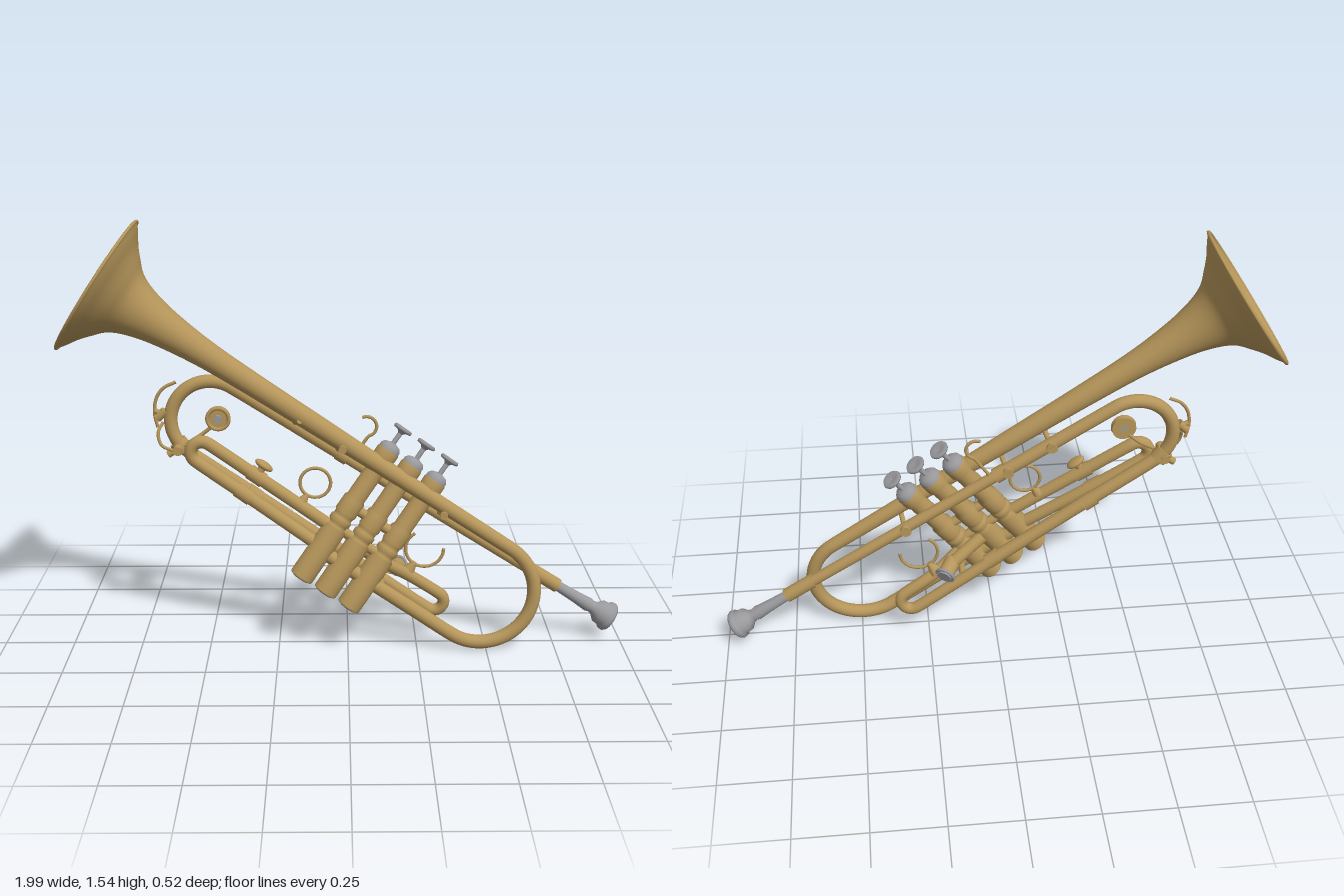
import * as THREE from 'three';

const brass = new THREE.MeshStandardMaterial({ color: 0xb5955a });
brass.name = 'brass';
const silver = new THREE.MeshStandardMaterial({ color: 0x9a9a9d });
silver.name = 'silver';

const V = (x, y, z) => new THREE.Vector3(x, y, z);
const UP = V(0, 1, 0);

export function createModel() {
  const model = new THREE.Group();
  model.name = 'trumpet';
  // Instrument is laid out along x, then tilted so that the bell points up
  const body = new THREE.Group();
  body.name = 'instrument';
  body.rotation.z = -0.5986;
  model.add(body);

  function add(name, geometry, material = brass, parent = body) {
    const mesh = new THREE.Mesh(geometry, material);
    mesh.name = name;
    parent.add(mesh);
    return mesh;
  }
  // Turned part whose axis starts at a and points towards b
  function turned(name, profile, a, b, material = brass, sides = 32, parent = body) {
    const pts = profile.map(([r, y]) => new THREE.Vector2(r, y));
    const mesh = add(name, new THREE.LatheGeometry(pts, sides), material, parent);
    mesh.position.copy(a);
    mesh.quaternion.setFromUnitVectors(UP, b.clone().sub(a).normalize());
    return mesh;
  }
  function rod(name, a, b, r, material = brass, r2 = r) {
    const mesh = add(name, new THREE.CylinderGeometry(r2, r, a.distanceTo(b), 20), material);
    mesh.position.copy(a).lerp(b, 0.5);
    mesh.quaternion.setFromUnitVectors(UP, b.clone().sub(a).normalize());
    return mesh;
  }
  function tube(name, points, r, material = brass, sides = 16) {
    const path = new THREE.CatmullRomCurve3(points, false, 'centripetal');
    return add(name, new THREE.TubeGeometry(path, points.length * 8, r, sides), material);
  }
  // Points along an arc, from angle a0 to a1, sliding from depth z0 to z1
  function arc(x, y, r, a0, a1, z0, z1 = z0, n = 12) {
    return Array.from({ length: n + 1 }, (_, i) => {
      const a = a0 + (a1 - a0) * i / n;
      return V(x + r * Math.cos(a), y + r * Math.sin(a), z0 + (z1 - z0) * i / n);
    });
  }
  const H = Math.PI / 2;

  // Bell: inner throat, rim, then the long tapering outside
  const bellMouth = V(-1.45, 0.612, 0), bellEnd = V(0.277, 0.638, 0.03);
  const flare = new THREE.SplineCurve([[0.257, 0], [0.228, 0.022], [0.19, 0.047], [0.155, 0.077],
    [0.117, 0.115], [0.09, 0.175], [0.068, 0.27], [0.05, 0.42], [0.042, 0.6], [0.036, 0.9],
    [0.029, 1.3], [0.025, 1.728]].map(p => new THREE.Vector2(...p))).getPoints(70).map(p => [p.x, p.y]);
  const throat = flare.slice(0, 45).reverse().map(([r, y]) => [r - 0.006, y - 0.002]);
  turned('bell', [...throat, ...flare], bellMouth, bellEnd, brass, 56);
  const rim = turned('bellRim', [], bellMouth, bellEnd);
  rim.geometry = new THREE.TorusGeometry(0.255, 0.006, 8, 56).rotateX(H);

  // Bell bow returning to the valves
  tube('bellBow', [V(0.2, 0.637, 0.029), ...arc(0.277, 0.449, 0.189, H, -H, 0.03, 0.065, 20),
    V(0.1, 0.26, 0.064), V(-0.3, 0.26, 0.061)], 0.025);

  // Leadpipe, main tuning slide and the long lower tube with its rear slide bow
  tube('leadpipe', [V(-0.5, 0.567, -0.051), V(0, 0.583, -0.044), V(0.5, 0.6, -0.037)], 0.021);
  tube('tuningSlide', [V(-0.42, 0.57, -0.05), ...arc(-0.87, 0.415, 0.14, H, 3 * H, -0.055, -0.045, 18),
    V(-0.6, 0.273, -0.045), V(-0.2, 0.268, -0.045)], 0.024);
  tube('rearSlide', [V(-0.3, 0.267, -0.045), V(0, 0.262, -0.045),
    ...arc(0.178, 0.297, 0.037, -H, H, -0.045, -0.035), V(0.05, 0.334, -0.025), V(-0.1, 0.336, 0.03)], 0.022);
  rod('leadpipeSleeve', V(0.4, 0.597, -0.038), V(0.52, 0.601, -0.037), 0.026);
  rod('leadpipeFerrule', V(-0.43, 0.57, -0.05), V(-0.39, 0.571, -0.05), 0.028);
  for (const x of [-0.62, -0.2]) rod('lowerFerrule', V(x, 0.271, -0.045), V(x + 0.05, 0.27, -0.045), 0.028);

  // First valve slide
  tube('firstSlide', [V(-0.3, 0.352, 0.045), V(-0.6, 0.352, 0.02), ...arc(-0.835, 0.312, 0.039, H, 3 * H, 0),
    V(-0.6, 0.272, 0.02), V(-0.3, 0.272, 0.055)], 0.023);
  for (const y of [0.352, 0.272])
    rod('firstSlideFerrule', V(-0.66, y, 0.014), V(-0.6, y, 0.02), 0.027);

  // Mouthpiece
  turned('mouthpiece', [[0.018, 0], [0.022, 0.1], [0.026, 0.15], [0.022, 0.165], [0.026, 0.18],
    [0.044, 0.2], [0.046, 0.222], [0.054, 0.23], [0.056, 0.242], [0.051, 0.25], [0.043, 0.247],
    [0.036, 0.225], [0.022, 0.205], [0.006, 0.195], [0.001, 0.194]],
    V(0.506, 0.6, -0.037), V(0.756, 0.608, -0.036), silver);

  // Three valves, leaning forward at the bottom
  const lean = t => -0.03 + (0.77 - t) * 0.18;
  for (let i = 0; i < 3; i++) {
    const x = -0.301 + i * 0.101;
    const valve = new THREE.Group();
    valve.name = 'valve' + (i + 1);
    body.add(valve);
    const a = V(x, 0.145, lean(0.145)), b = V(x + 0.01, 0.77, lean(0.77));
    const part = (name, profile, material) => turned(name, profile, a, b, material, 28, valve);
    part('casing', [[0.042, 0], [0.044, 0.006], [0.044, 0.215], [0.036, 0.222], [0.036, 0.235],
      [0.041, 0.238], [0.041, 0.255], [0.036, 0.258], [0.036, 0.27], [0.041, 0.28], [0.041, 0.335],
      [0.035, 0.345], [0.035, 0.5], [0.042, 0.505], [0.042, 0.545], [0.036, 0.552]]);
    part('bottomCap', [[0.001, -0.005], [0.03, -0.005], [0.041, 0], [0.041, 0.004]], silver);
    part('topCap', [[0.039, 0.545], [0.039, 0.56], [0.03, 0.572], [0.012, 0.578], [0.001, 0.578]], silver);
    part('stem', [[0.009, 0.57], [0.009, 0.63]], silver);
    part('button', [[0.008, 0.618], [0.016, 0.628], [0.034, 0.632], [0.036, 0.638], [0.033, 0.645],
      [0.018, 0.641], [0.001, 0.64]], silver);
  }
  // Ports joining the valves
  for (const t of [0.36, 0.45])
    rod('valvePort', V(-0.29, t, lean(t)), V(-0.09, t, lean(t)), 0.018);

  // Second valve slide with round silver end
  rod('secondSlide', V(-0.18, 0.335, 0.02), V(-0.035, 0.33, -0.02), 0.024);
  const knobA = V(-0.04, 0.33, -0.01), knobB = V(0, 0.33, -0.065);
  rod('secondSlideBow', knobA, knobB, 0.03);
  const knob = rod('secondSlideKnob', knobB, V(0.005, 0.33, -0.072), 0.026, silver);
  const ring = add('secondSlideRing', new THREE.TorusGeometry(0.033, 0.006, 8, 28), silver);
  ring.position.copy(knobB);
  ring.quaternion.copy(knob.quaternion).multiply(new THREE.Quaternion().setFromAxisAngle(V(1, 0, 0), H));

  // Braces between bell and leadpipe, with small end buttons
  for (const x of [-0.62, -0.44, -0.007]) {
    const y = 0.583 + x * 0.034, z = -0.044 + x * 0.014;
    rod('brace', V(x, y, z - 0.026), V(x, 0.612, 0.05), 0.009);
    rod('braceButton', V(x, y, z - 0.028), V(x, y, z + 0.012), 0.02);
    if (x > -0.6) rod('braceStud', V(x, 0.612, 0.05), V(x, 0.612, 0.064), 0.014);
  }
  for (const x of [-0.74, -0.04])
    rod('lowerBrace', V(x, 0.27, -0.05), V(x, 0.27, x < -0.5 ? 0.0 : 0.06), 0.012);

  // Finger ring, thumb rest and hooks
  const fingerRing = add('fingerRing', new THREE.TorusGeometry(0.054, 0.006, 8, 36));
  fingerRing.position.set(-0.446, 0.45, 0.025);
  rod('ringFoot', V(-0.446, 0.365, 0.028), V(-0.446, 0.397, 0.025), 0.02, brass, 0.008);
  rod('thumbRestPost', V(-0.63, 0.36, 0.017), V(-0.63, 0.395, 0.017), 0.014);
  const thumbRest = add('thumbRest', new THREE.SphereGeometry(1, 20, 12));
  thumbRest.scale.set(0.036, 0.014, 0.024);
  thumbRest.position.set(-0.63, 0.4, 0.017);
  tube('slideHook', arc(0.03, 0.45, 0.069, 2.7, 6.9, -0.025), 0.006, brass, 8);
  rod('slideHookFoot', V(0.03, 0.34, -0.028), V(0.03, 0.386, -0.025), 0.026, brass, 0.01);
  tube('littleFingerHook', [V(-0.375, 0.575, -0.05), V(-0.375, 0.64, -0.05),
    ...arc(-0.4, 0.705, 0.036, -0.7, 2.6, -0.05)], 0.006, brass, 8);

  // Water key with its round pad, lever and spring hooks
  const padAt = V(-0.853, 0.443, -0.03);
  rod('keyPad', padAt, V(-0.853, 0.443, -0.014), 0.043);
  const padRim = add('keyPadRim', new THREE.TorusGeometry(0.038, 0.007, 8, 28));
  padRim.position.set(-0.853, 0.443, -0.012);
  rod('keyPadCentre', padAt, V(-0.853, 0.443, -0.004), 0.014, silver);
  tube('keyLever', [V(-0.853, 0.41, -0.025), V(-0.868, 0.36, -0.03), V(-0.9, 0.29, -0.02)], 0.007, brass, 8);
  rod('keyPivot', V(-0.91, 0.272, -0.08), V(-0.91, 0.272, 0.02), 0.016);
  rod('keyCollar', V(-0.925, 0.285, -0.045), V(-0.885, 0.272, -0.045), 0.032);
  rod('keyNozzle', V(-0.905, 0.275, -0.045), V(-0.925, 0.225, -0.045), 0.013);
  tube('keySpring', [V(-0.91, 0.265, 0.0), V(-0.965, 0.255, 0), V(-1.0, 0.285, -0.01), V(-1.005, 0.32, -0.03)], 0.006, brass, 8);
  rod('slideStopPost', V(-1.0, 0.345, -0.045), V(-1.05, 0.335, -0.045), 0.01);
  rod('slideStopKnob', V(-1.03, 0.315, -0.045), V(-1.02, 0.355, -0.045), 0.016);
  tube('slideStopHook', [V(-1.01, 0.29, -0.045), V(-1.045, 0.325, -0.045), V(-1.07, 0.375, -0.045),
    V(-1.07, 0.42, -0.045), V(-1.045, 0.465, -0.045)], 0.006, brass, 8);

  return model;
}
